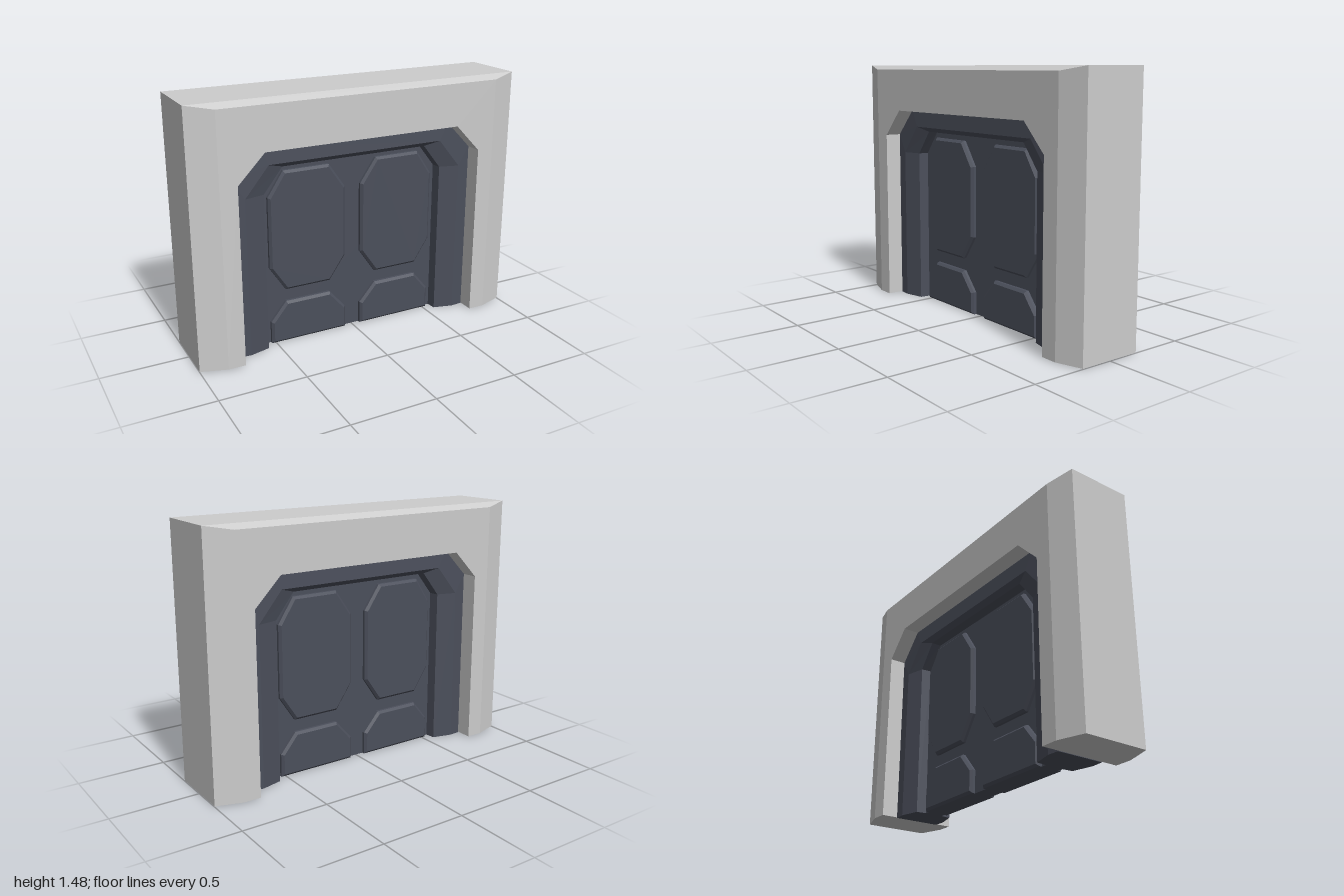
import * as THREE from 'three';

const concrete = new THREE.MeshStandardMaterial({ name: 'pale concrete', color: 0xcccccc });
const steel = new THREE.MeshStandardMaterial({ name: 'dark steel', color: 0x4b4f5b });

// Arch path from the right foot over the top to the left foot, given its right half
function arch(z, half) {
  const right = half.map(([x, y]) => new THREE.Vector3(x, y, z));
  const left = half.map(([x, y]) => new THREE.Vector3(-x, y, z)).reverse();
  return [...right, ...left];
}

// Skin a closed ring of arch paths with flat faces and cap both feet
function portal(rings) {
  const pos = [];
  const tri = (...pts) => pts.forEach((p) => pos.push(p.x, p.y, p.z));
  const n = rings[0].length;
  rings.forEach((a, k) => {
    const b = rings[(k + 1) % rings.length];
    for (let i = 0; i < n - 1; i++) {
      tri(a[i], b[i], b[i + 1]);
      tri(a[i], b[i + 1], a[i + 1]);
    }
  });
  for (let k = 1; k < rings.length - 1; k++) {
    tri(rings[0][0], rings[k + 1][0], rings[k][0]);
    tri(rings[0][n - 1], rings[k][n - 1], rings[k + 1][n - 1]);
  }
  const geo = new THREE.BufferGeometry();
  geo.setAttribute('position', new THREE.Float32BufferAttribute(pos, 3));
  geo.computeVertexNormals();
  return geo;
}

// Front rings followed by their mirror images at the back
function bothSides(front) {
  const make = (s) => front.map(([z, half]) => arch(s * z, half));
  return [...make(1), ...make(-1).reverse()];
}

function shapeOf(points) {
  return new THREE.Shape(points.map(([x, y]) => new THREE.Vector2(x, y)));
}

export function createModel() {
  const group = new THREE.Group();
  const add = (name, geo, mat) => {
    const mesh = new THREE.Mesh(geo, mat);
    mesh.name = name;
    group.add(mesh);
    return mesh;
  };

  // Thick wall with bevelled ends and top, pierced by a chamfered opening
  const opening = [[0.75, 0.003], [0.75, 1.04], [0.595, 1.2]];
  const outer = (w, top) => [[w, 0.003], [w, 1.04], [w, top]];
  add('wall', portal(bothSides([
    [0.238, opening],
    [0.238, outer(0.85, 1.45)],
    [0.19, outer(1, 1.476)],
  ])), concrete);

  // Recessed door frame, sloping in towards the door
  add('doorFrame', portal(bothSides([
    [0.055, [[0.556, 0], [0.556, 0.93], [0.447, 1.07]]],
    [0.115, [[0.562, 0], [0.562, 0.93], [0.45, 1.073]]],
    [0.145, [[0.68, 0], [0.68, 0.93], [0.54, 1.1]]],
    [0.14, [[0.75, 0], [0.75, 1.04], [0.595, 1.2]]],
  ])), steel);

  // Door leaf
  const leaf = new THREE.ExtrudeGeometry(shapeOf([
    [-0.56, 0], [0.56, 0], [0.56, 0.93], [0.45, 1.073], [-0.45, 1.073], [-0.56, 0.93],
  ]), { depth: 0.11, bevelEnabled: false });
  add('doorLeaf', leaf.translate(0, 0, -0.055), steel);

  // Raised panels, standing proud on both faces of the leaf
  const upper = [
    [0.05, 0.47], [0.15, 0.325], [0.43, 0.325], [0.525, 0.47],
    [0.525, 0.89], [0.43, 1.035], [0.15, 1.035], [0.05, 0.89],
  ];
  const lower = [
    [0.05, 0], [0.525, 0], [0.525, 0.135], [0.43, 0.25], [0.15, 0.25], [0.05, 0.135],
  ];
  const bevel = 0.014;
  for (const [name, outline] of [['upperPanel', upper], ['lowerPanel', lower]]) {
    for (const side of [1, -1]) {
      const points = outline.map(([x, y]) => [x * side, y]);
      const geo = new THREE.ExtrudeGeometry(shapeOf(points), {
        depth: 0.17 - 2 * bevel, bevelThickness: bevel, bevelSize: bevel,
        bevelOffset: -bevel, bevelSegments: 1,
      });
      add(name + (side > 0 ? 'Left' : 'Right'), geo.translate(0, 0, bevel - 0.085), steel);
    }
  }
  return group;
}
